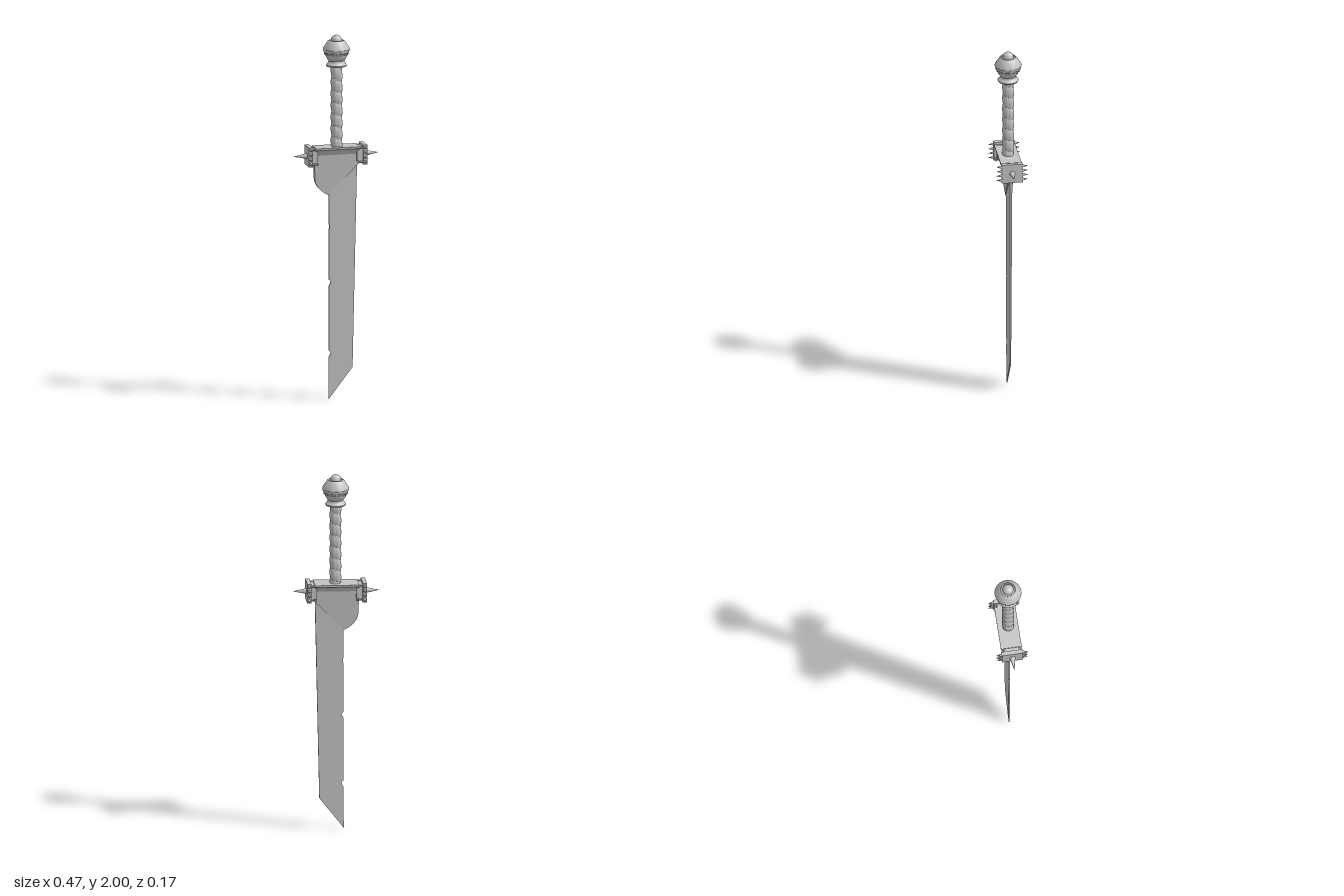
import * as THREE from 'three';
import { toCreasedNormals } from 'three/addons/utils/BufferGeometryUtils.js';

const steel = new THREE.MeshStandardMaterial({ color: 0xc4c4c4 });
steel.name = 'steel';

function add(parent, name, geometry, x = 0, y = 0, z = 0) {
  const mesh = new THREE.Mesh(geometry, steel);
  mesh.name = name;
  mesh.position.set(x, y, z);
  parent.add(mesh);
  return mesh;
}

// Flat plate in the xy plane whose half thickness varies linearly with height.
function taperedPlate(shape, y0, half0, y1, half1) {
  const g = new THREE.ExtrudeGeometry(shape, { depth: 2, bevelEnabled: false, curveSegments: 6 });
  g.translate(0, 0, -1);
  const p = g.attributes.position;
  for (let i = 0; i < p.count; i++) {
    const t = (p.getY(i) - y0) / (y1 - y0);
    p.setZ(i, p.getZ(i) * (half0 + (half1 - half0) * t));
  }
  return toCreasedNormals(g, 0.5);
}

function lathe(points, segments) {
  const g = new THREE.LatheGeometry(points.map(([r, y]) => new THREE.Vector2(r, y)), segments);
  return toCreasedNormals(g, 0.45);
}

// Grip wrapped by one spiral strip: each turn swells, then steps back in.
function gripGeometry(height, turns) {
  const g = new THREE.CylinderGeometry(1, 1, height, 24, 112, true);
  const p = g.attributes.position;
  for (let i = 0; i < p.count; i++) {
    const x = p.getX(i), y = p.getY(i), z = p.getZ(i);
    const turn = (y / height) * turns - Math.atan2(z, x) / (2 * Math.PI);
    const f = turn - Math.floor(turn);
    const r = 0.026 + 0.006 * Math.sqrt(Math.sin(Math.PI * f));
    p.setXYZ(i, x * r, y, z * r);
  }
  return toCreasedNormals(g, 0.6);
}

export function createModel() {
  const sword = new THREE.Group();
  sword.name = 'sword';

  // Single-edged blade with chipped cutting edge and slanted tip
  const blade = new THREE.Shape();
  blade.moveTo(-0.042, 0);
  blade.lineTo(0.091, 0.172);
  blade.lineTo(0.116, 1.34);
  blade.lineTo(-0.04, 1.34);
  for (const [y, depth] of [[0.95, 0.005], [0.645, 0.012], [0.255, 0.013]]) {
    blade.lineTo(-0.041, y + 0.015);
    blade.lineTo(-0.041 + depth, y);
    blade.lineTo(-0.041, y - 0.025);
  }
  add(sword, 'blade', taperedPlate(blade, 0, 0.003, 1.34, 0.007));

  // Collar wrapping the root of the blade
  const collar = new THREE.Shape();
  collar.moveTo(-0.045, 1.122);
  collar.lineTo(0.12, 1.29);
  collar.lineTo(0.12, 1.36);
  collar.lineTo(-0.125, 1.36);
  collar.lineTo(-0.12, 1.21);
  collar.quadraticCurveTo(-0.112, 1.155, -0.045, 1.122);
  add(sword, 'collar', taperedPlate(collar, 1.12, 0.008, 1.36, 0.024));

  // Guard, tilted very slightly
  const guard = new THREE.Group();
  guard.name = 'guard';
  guard.position.set(0, 1.343, 0);
  guard.rotation.z = 0.015;
  sword.add(guard);

  const section = new THREE.Shape();
  section.moveTo(-0.057, 0.046);
  section.lineTo(-0.057, 0.036);
  section.quadraticCurveTo(-0.035, 0.026, -0.022, 0);
  section.lineTo(0.022, 0);
  section.quadraticCurveTo(0.035, 0.026, 0.057, 0.036);
  section.lineTo(0.057, 0.046);
  const body = new THREE.ExtrudeGeometry(section, { depth: 0.24, bevelEnabled: false, curveSegments: 6 });
  body.translate(0, 0, -0.12).rotateY(Math.PI / 2);
  add(guard, 'guardBody', toCreasedNormals(body, 0.5));

  for (const side of [-1, 1]) {
    // End plate, neck and four joining rods
    add(guard, 'endPlate', new THREE.BoxGeometry(0.022, 0.108, 0.114), side * 0.151, 0, 0);
    add(guard, 'endNeck', new THREE.BoxGeometry(0.036, 0.076, 0.082), side * 0.126, 0.002, 0);
    for (const y of [-0.04, 0.04]) for (const z of [-0.049, 0.049]) {
      const rod = new THREE.CylinderGeometry(0.005, 0.005, 0.036, 8).rotateZ(Math.PI / 2);
      add(guard, 'endRod', rod, side * 0.126, y, z);
    }
    // Long outward spike
    const spike = new THREE.ConeGeometry(0.016, 0.075, 12).rotateZ(-side * Math.PI / 2);
    add(guard, 'endSpike', spike, side * 0.1985, 0, 0);
    // Rows of short spikes on the front and back edges
    for (const face of [-1, 1]) for (let i = 0; i < 4; i++) {
      const small = new THREE.ConeGeometry(0.009, 0.031, 8).rotateX(face * Math.PI / 2);
      add(guard, 'edgeSpike', small, side * 0.151, -0.039 + i * 0.026, face * 0.072);
    }
  }

  // Spiral-wrapped grip
  add(sword, 'grip', gripGeometry(0.45, 7), 0.003, 1.61, 0);

  // Turned pommel with a bead ring and a ball on top
  const pommel = new THREE.Group();
  pommel.name = 'pommel';
  pommel.position.x = 0.002;
  sword.add(pommel);
  add(pommel, 'pommelBody', lathe([
    [0, 1.828], [0.054, 1.828], [0.057, 1.836], [0.045, 1.85], [0.043, 1.86],
    [0.052, 1.872], [0.06, 1.888], [0.062, 1.902], [0.068, 1.905], [0.073, 1.922],
    [0.071, 1.93], [0.046, 1.968], [0.041, 1.971], [0.038, 1.964], [0, 1.964],
  ], 24));
  for (let i = 0; i < 18; i++) {
    const a = (i / 18) * Math.PI * 2;
    add(pommel, 'bead', new THREE.SphereGeometry(0.005, 8, 6), 0.062 * Math.cos(a), 1.896, 0.062 * Math.sin(a));
  }
  add(pommel, 'pommelBall', new THREE.SphereGeometry(0.03, 20, 14), 0, 1.97, 0);

  return sword;
}
